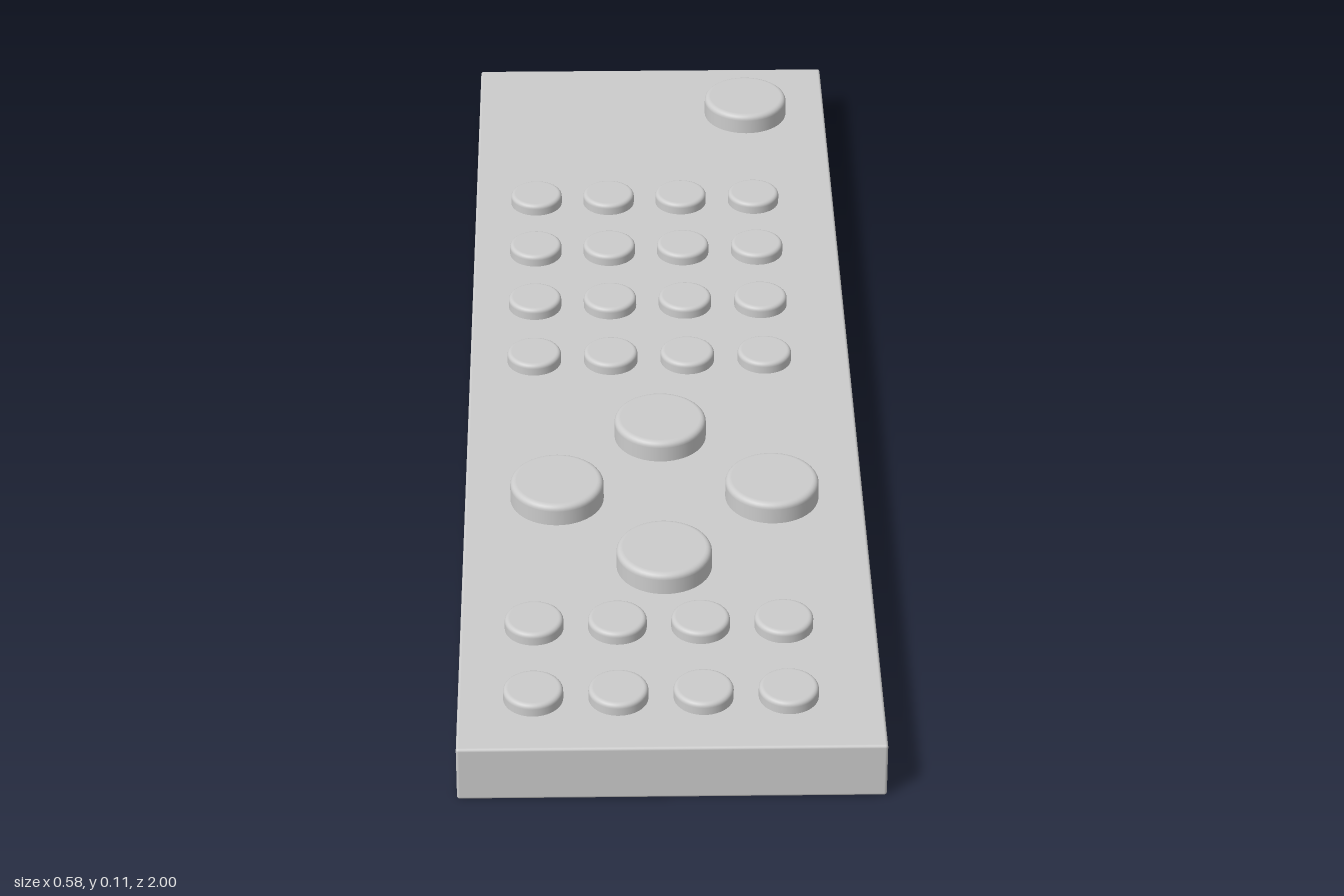
import * as THREE from 'three';
import { RoundedBoxGeometry } from 'three/addons/geometries/RoundedBoxGeometry.js';

const TOP = 0.082; // top face of the body

// Oval button with a softly rounded rim; its base is sunk slightly into the body
function buttonGeometry(rx, rz, height, fillet) {
  const profile = [new THREE.Vector2(rx, -0.005), new THREE.Vector2(rx, height - fillet - 0.001)];
  for (let i = 0; i <= 6; i++) {
    const a = (i / 6) * Math.PI / 2;
    profile.push(new THREE.Vector2(rx - fillet + fillet * Math.cos(a), height - fillet + fillet * Math.sin(a)));
  }
  profile.push(new THREE.Vector2(rx - fillet - 0.001, height), new THREE.Vector2(0, height));
  return new THREE.LatheGeometry(profile, 48).scale(1, 1, rz / rx);
}

export function createModel() {
  const model = new THREE.Group();
  model.name = 'remoteControl';
  const material = new THREE.MeshStandardMaterial({ color: 0xcccccc });

  const add = (name, geometry, x, y, z) => {
    const mesh = new THREE.Mesh(geometry, material);
    mesh.name = name;
    mesh.position.set(x, y, z);
    model.add(mesh);
  };

  // Body slab with finely rounded edges
  add('body', new RoundedBoxGeometry(0.58, TOP, 2, 3, 0.004), 0, TOP / 2, 0);

  const large = buttonGeometry(0.068, 0.074, 0.032, 0.008);
  const small = buttonGeometry(0.041, 0.044, 0.018, 0.006);

  // Power button at the far end
  add('powerButton', large, 0.157, TOP, -0.838);

  // Four large buttons in a diamond
  add('upButton', large, -0.003, TOP, 0.199);
  add('downButton', large, -0.003, TOP, 0.553);
  add('rightButton', large, -0.156, TOP, 0.371);
  add('leftButton', large, 0.157, TOP, 0.371);

  // Number pad: four rows of four
  for (const z of [-0.528, -0.36, -0.191, -0.022])
    for (const x of [-0.192, -0.075, 0.042, 0.16]) add('numberButton', small, x, TOP, z);

  // Function buttons: two rows of four near the front
  for (const z of [0.709, 0.88])
    for (const x of [-0.187, -0.071, 0.045, 0.161]) add('functionButton', small, x, TOP, z);

  return model;
}
